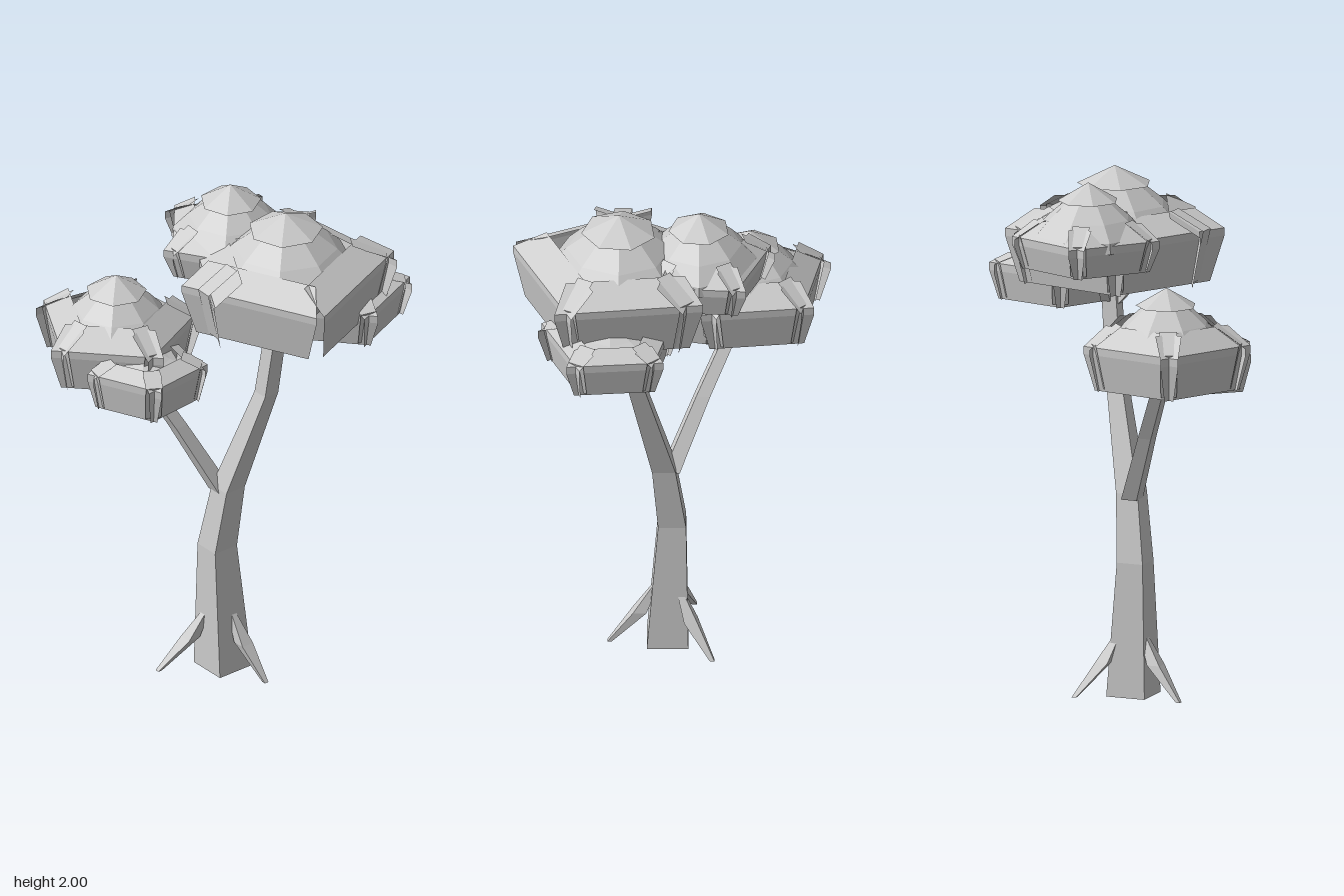
import * as THREE from 'three';

const grey = new THREE.MeshStandardMaterial({ color: 0xcccccc, flatShading: true, side: THREE.DoubleSide });
grey.name = 'pale grey';

function mesh(name, geometry) {
  const m = new THREE.Mesh(geometry, grey);
  m.name = name;
  return m;
}

function geometryFrom(pos, idx) {
  const indexed = new THREE.BufferGeometry();
  indexed.setAttribute('position', new THREE.Float32BufferAttribute(pos, 3));
  indexed.setIndex(idx);
  const g = indexed.toNonIndexed();
  g.computeVertexNormals();
  return g;
}

// Four-sided limb lofted upwards through level rings [x, y, z, radius]
function limb(name, rings) {
  const pos = [], idx = [], sides = 4;
  for (const [x, y, z, r] of rings) {
    for (let i = 0; i < sides; i++) {
      const a = (i / sides) * Math.PI * 2;
      pos.push(x + r * Math.sin(a), y, z + r * Math.cos(a));
    }
  }
  const last = (rings.length - 1) * sides;
  for (let k = 0; k < last; k += sides) {
    for (let i = 0; i < sides; i++) {
      const a = k + i, b = k + (i + 1) % sides;
      idx.push(a, b, b + sides, a, b + sides, a + sides);
    }
  }
  for (let i = 1; i < sides - 1; i++) idx.push(0, i + 1, i, last, last + i, last + i + 1);
  return mesh(name, geometryFrom(pos, idx));
}

// Folded leaf card facing outwards: rows of [distance, height, half width]
function card(name, degrees, rows) {
  const a = THREE.MathUtils.degToRad(degrees), c = Math.cos(a), s = Math.sin(a);
  const pos = [], idx = [];
  for (const [d, y, w] of rows) pos.push(d * c - w * s, y, d * s + w * c, d * c + w * s, y, d * s - w * c);
  for (let k = 0; k < (rows.length - 1) * 2; k += 2) idx.push(k, k + 2, k + 3, k, k + 3, k + 1);
  return mesh(name, geometryFrom(pos, idx));
}

// Leaf crown: faceted dome, overhanging cap, wide crossing cards on the sides, narrow ones on the corners
function crown({ name, x, z, r, angles, top, fold, bottom, dome, tip }) {
  const g = new THREE.Group();
  g.name = name;
  g.position.set(x, 0, z);
  const shoulder = tip ? tip - 0.07 : top + 0.01;
  const profile = [
    [0, bottom + 0.04], [dome * 0.65, bottom + 0.06], [dome, fold - 0.03], [dome * 0.97, fold + 0.01],
    [dome * 0.72, fold + (shoulder - fold) * 0.52], [dome * 0.38, shoulder], [0, shoulder + 0.01],
  ].map(([d, y]) => new THREE.Vector2(d, y));
  g.add(mesh('leafDome', new THREE.LatheGeometry(profile, 8)));
  if (tip) {
    const cap = mesh('leafCap', new THREE.ConeGeometry(dome * 0.52, 0.07, 7));
    cap.position.y = tip - 0.035;
    g.add(cap);
  }
  angles.forEach((a, i) => {
    g.add(card('sideCard', a, [
      [r * 0.64, top, r * 0.72], [r, fold, r * 0.9], [r, fold - 0.03, r * 0.9], [r * 0.91, bottom, r * 0.75],
    ]));
    // Square corners need no corner card
    const next = angles[(i + 1) % angles.length] + (i === angles.length - 1 ? 360 : 0);
    if (next - a > 80) return;
    g.add(card('cornerCard', (a + next) / 2, [
      [r * 0.8, top + 0.01, 0.033], [r * 1.23, fold + 0.01, 0.033], [r * 1.08, bottom + 0.01, 0.03],
    ]));
  });
  return g;
}

const five = (start) => [0, 1, 2, 3, 4].map((i) => start + i * 72);

export function createModel() {
  const tree = new THREE.Group();
  tree.name = 'tree';

  // Bent trunk, side branch and twigs
  tree.add(limb('trunk', [
    [0.01, 0, 0.02, 0.111], [-0.012, 0.52, 0.018, 0.075], [0.03, 0.78, 0.02, 0.063],
    [0.175, 1.2, 0.018, 0.045], [0.215, 1.5, 0.015, 0.042], [0.22, 1.64, 0.015, 0.036],
  ]));
  tree.add(limb('sideBranch', [
    [0.0, 0.76, 0.01, 0.045], [-0.165, 1.03, 0.005, 0.038], [-0.305, 1.24, 0, 0.035], [-0.38, 1.36, 0, 0.03],
  ]));
  tree.add(limb('frontTwig', [[0.21, 1.47, 0.02, 0.028], [0.14, 1.62, 0.14, 0.018]]));
  tree.add(limb('backTwig', [[0.22, 1.48, 0, 0.028], [0.1, 1.72, -0.1, 0.018]]));

  // Splayed roots with a thick elbow
  for (const [tx, tz] of [[-0.225, 0.11], [0.185, 0.155], [0.01, -0.22]]) {
    const along = (k, y, r) => [0.005 + (tx - 0.005) * k, y, 0.015 + (tz - 0.015) * k, r];
    tree.add(limb('root', [along(1, 0.008, 0.012), along(0.5, 0.135, 0.036), along(0.22, 0.25, 0.014)]));
  }

  // Crowns
  const crowns = [
    { name: 'mainCrown', x: 0.25, z: 0.04, r: 0.315, angles: [22, 110, 165, 238, 308], top: 1.84, fold: 1.775, bottom: 1.57, dome: 0.275, tip: 2 },
    { name: 'backCrown', x: 0.02, z: -0.16, r: 0.215, angles: five(31), top: 1.85, fold: 1.79, bottom: 1.67, dome: 0.225, tip: 1.995 },
    { name: 'leftCrown', x: -0.4, z: -0.01, r: 0.24, angles: five(20), top: 1.52, fold: 1.45, bottom: 1.28, dome: 0.225, tip: 1.66 },
    { name: 'smallFrontCrown', x: -0.27, z: 0.165, r: 0.175, angles: five(39), top: 1.42, fold: 1.385, bottom: 1.24, dome: 0.13 },
    { name: 'smallRightCrown', x: 0.44, z: -0.105, r: 0.205, angles: five(22), top: 1.64, fold: 1.61, bottom: 1.47, dome: 0.15 },
  ];
  for (const c of crowns) tree.add(crown(c));

  return tree;
}
